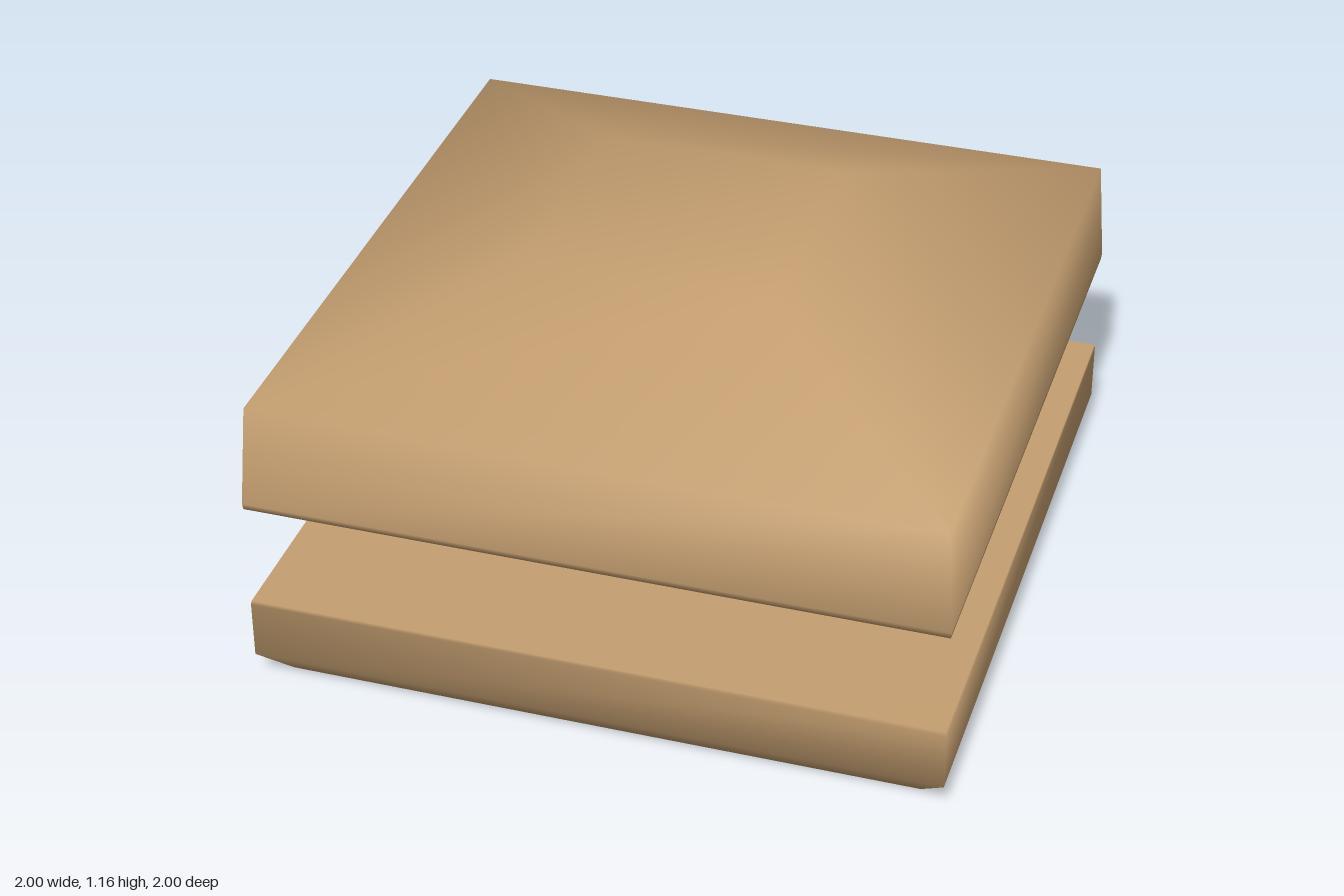
import * as THREE from 'three';

// Square loft through rings of [y, half] or [y, x0, x1, z0, z1], bottom to top, capped and smooth
function squareLoft(name, rings, color) {
  const pos = [], idx = [];
  for (const [y, a, b = a, c, d = a] of rings) {
    const x0 = c === undefined ? -a : a;
    const x1 = b;
    const z0 = c === undefined ? -a : c;
    const z1 = d;
    pos.push(x0, y, z1, x1, y, z1, x1, y, z0, x0, y, z0);
  }
  for (let r = 0; r < rings.length - 1; r++) {
    for (let i = 0; i < 4; i++) {
      const a = r * 4 + i, b = r * 4 + (i + 1) % 4;
      idx.push(a, b, b + 4, a, b + 4, a + 4);
    }
  }
  const t = (rings.length - 1) * 4;
  idx.push(t, t + 1, t + 2, t, t + 2, t + 3); // top cap
  idx.push(0, 2, 1, 0, 3, 2); // bottom cap
  const geo = new THREE.BufferGeometry();
  geo.setAttribute('position', new THREE.Float32BufferAttribute(pos, 3));
  geo.setIndex(idx);
  geo.computeVertexNormals();
  const mesh = new THREE.Mesh(geo, new THREE.MeshStandardMaterial({ color }));
  mesh.name = name;
  return mesh;
}

export function createModel() {
  const group = new THREE.Group();
  group.name = 'squareBurger';
  const bun = 0xc49e70, red = 0xb5301e;

  // Lower bun: chamfered underside, thin rim under the flat top
  group.add(squareLoft('bottomBun', [[0, 0.92], [0.09, 1], [0.265, 1], [0.277, 0.998]], bun));

  // Thin red slice fixed under the upper bun
  group.add(squareLoft('tomatoSlice', [[0.52, 0.898], [0.528, 0.904], [0.595, 0.904]], red));

  // Upper bun: slightly tapered sides, sloped to a small off-centre flat top
  group.add(squareLoft('topBun', [
    [0.592, 0.998], [0.61, 1], [0.917, 0.98], [1.163, -0.37, 0.35, -0.32, 0.4],
  ], bun));

  return group;
}
